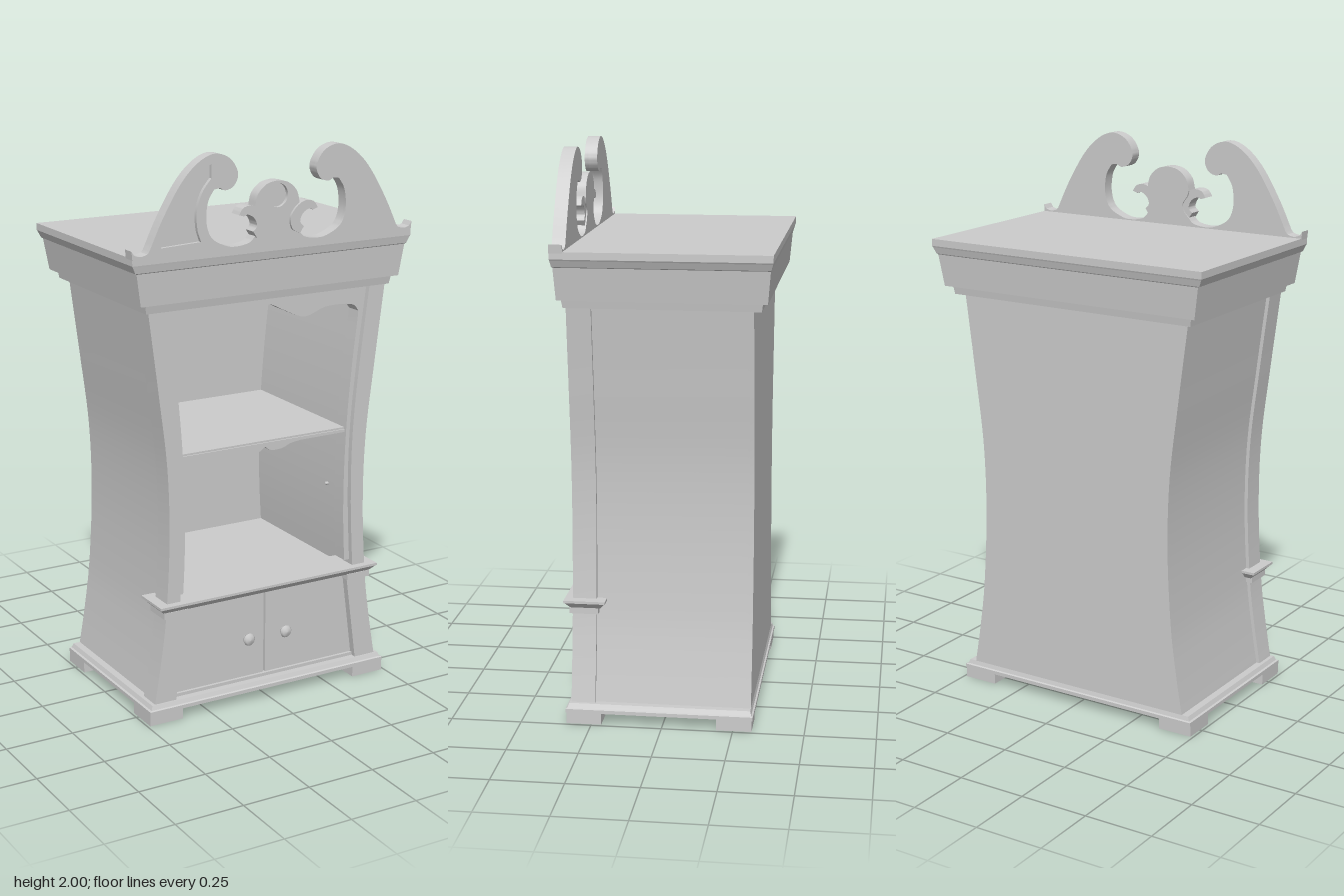
import * as THREE from 'three';
import { toCreasedNormals } from 'three/addons/utils/BufferGeometryUtils.js';

const material = new THREE.MeshStandardMaterial({ color: 0xcccccc });
const flip = (pts) => pts.map((p) => new THREE.Vector2(-p.x, p.y));
const line = (...pts) => pts.map((p) => new THREE.Vector2(...p));
const spline = (n, ...pts) => new THREE.SplineCurve(line(...pts)).getPoints(n);
// Left half run plus its mirror, as one closed outline
const symmetric = (half) => [...half, ...flip(half).reverse()];

function createModel() {
  const model = new THREE.Group();
  const add = (name, geometry) => {
    const mesh = new THREE.Mesh(geometry, material);
    mesh.name = name;
    model.add(mesh);
    return mesh;
  };

  // Flat board cut to an outline in x, y and spanning z0 to z1
  const board = (name, outline, z0, z1, holes = []) => {
    const shape = new THREE.Shape(outline);
    shape.holes = holes.map((h) => new THREE.Path(h));
    const geo = new THREE.ExtrudeGeometry(shape, { depth: z1 - z0, bevelEnabled: false });
    geo.translate(0, 0, z0);
    return add(name, toCreasedNormals(geo, 0.5));
  };
  const boardPair = (name, outline, z0, z1) => {
    board(name + 'Left', outline, z0, z1);
    board(name + 'Right', flip(outline), z0, z1);
  };

  // Rectangular moulding lofted through levels of [y, x0, x1, zBack, zFront]
  const moulding = (name, levels) => {
    const pos = [], index = [];
    for (const [y, x0, x1, zb, zf] of levels) pos.push(x0, y, zf, x1, y, zf, x1, y, zb, x0, y, zb);
    for (let i = 0; i < levels.length - 1; i++) {
      for (let j = 0; j < 4; j++) {
        const a = i * 4 + j, b = i * 4 + (j + 1) % 4;
        index.push(a, b, b + 4, a, b + 4, a + 4);
      }
    }
    const t = (levels.length - 1) * 4;
    index.push(0, 2, 1, 0, 3, 2, t, t + 1, t + 2, t, t + 2, t + 3);
    const geo = new THREE.BufferGeometry();
    geo.setAttribute('position', new THREE.Float32BufferAttribute(pos, 3));
    geo.setIndex(index);
    const flat = geo.toNonIndexed();
    flat.computeVertexNormals();
    return add(name, flat);
  };
  const wide = (y, x, zb, zf) => [y, -x, x, zb, zf];
  const box = (name, x0, x1, y0, y1, z0, z1) =>
    moulding(name, [[y0, x0, x1, z0, z1], [y1, x0, x1, z0, z1]]);

  // Waisted side curves, bottom to top
  const outer = spline(40, [0.465, 0.06], [0.438, 0.22], [0.415, 0.4], [0.4, 0.67], [0.406, 0.93], [0.437, 1.2], [0.474, 1.49]);
  const inner = spline(40, [0.37, 0.06], [0.338, 0.44], [0.328, 0.7], [0.335, 0.96], [0.355, 1.2], [0.378, 1.39], [0.39, 1.49]);
  const pilasterInner = spline(30, [0.36, 0.42], [0.347, 0.7], [0.35, 0.95], [0.373, 1.2], [0.41, 1.49]);
  const inset = outer.map((p) => new THREE.Vector2(p.x - 0.013, p.y));

  // Case: side walls, back and floor
  boardPair('sideWall', [...inset, ...[...inner].reverse()], -0.295, 0.245);
  board('backPanel', symmetric(inset), -0.31, -0.29);
  box('nicheFloor', -0.36, 0.36, 0.4, 0.437, -0.295, 0.31);

  // Pilasters above and below the ledge
  const upper = outer.filter((p) => p.y > 0.41), lower = outer.filter((p) => p.y < 0.42);
  boardPair('upperPilaster', [...upper, ...[...pilasterInner].reverse()], 0.24, 0.325);
  boardPair('lowerPilaster', [...lower, ...line([0.333, 0.41], [0.38, 0.06])], 0.24, 0.325);

  // Face frame with scalloped head
  const opening = inner.filter((p) => p.y > 0.44 && p.y < 1.38);
  const scallop = spline(24, [0.377, 1.39], [0.345, 1.418], [0.24, 1.421], [0.155, 1.395], [0.08, 1.422], [0.02, 1.452], [0, 1.455]);
  const frameEdge = inner.filter((p) => p.y > 0.41).map((p) => new THREE.Vector2(p.x + 0.04, p.y));
  board('faceFrame', symmetric(frameEdge), 0.245, 0.305, [symmetric([...opening, ...scallop])]);

  // Middle shelf with shaped apron and support pins
  box('middleShelf', -0.338, 0.338, 0.945, 0.962, -0.295, 0.29);
  board('shelfApron', symmetric([...line([0.336, 0.955], [0.336, 0.945]),
    ...spline(16, [0.15, 0.944], [0.105, 0.938], [0.07, 0.925], [0.025, 0.925], [0, 0.941])]), 0.27, 0.295);
  for (const s of [-1, 1]) {
    const pin = add('shelfPin', new THREE.CylinderGeometry(0.006, 0.006, 0.02, 10));
    pin.rotation.z = Math.PI / 2;
    pin.position.set(s * 0.325, 0.725, 0.2);
  }

  // Doors and knobs
  boardPair('door', line([0.004, 0.085], [0.376, 0.085], [0.335, 0.4], [0.004, 0.4]), 0.275, 0.298);
  box('doorBacking', -0.35, 0.35, 0.06, 0.41, 0.25, 0.27);
  box('bottomRail', -0.38, 0.38, 0.06, 0.083, 0.26, 0.305);
  const knobProfile = line([0.009, 0], [0.009, 0.012], [0.02, 0.018], [0.023, 0.026], [0.017, 0.034], [0, 0.037]);
  for (const s of [-1, 1]) {
    const knob = add('doorKnob', new THREE.LatheGeometry(knobProfile, 20));
    knob.rotation.x = Math.PI / 2;
    knob.position.set(s * 0.077, 0.235, 0.297);
  }

  // Waist ledge and pilaster capitals
  moulding('waistLedge', [wide(0.408, 0.427, 0.225, 0.33), wide(0.427, 0.445, 0.21, 0.347),
    wide(0.43, 0.45, 0.205, 0.352), wide(0.439, 0.45, 0.205, 0.352)]);
  for (const s of [-1, 1]) {
    const xs = [0.333 * s, 0.428 * s].sort((a, b) => a - b);
    box('capital', ...xs, 0.387, 0.41, 0.232, 0.334);
  }

  // Plinth and feet
  moulding('plinth', [wide(0.04, 0.49, -0.32, 0.342), wide(0.053, 0.49, -0.32, 0.342),
    wide(0.056, 0.483, -0.314, 0.336), wide(0.071, 0.476, -0.31, 0.33)]);
  for (const x of [-0.49, 0.36]) {
    for (const z of [-0.316, 0.215]) box('foot', x, x + 0.13, 0, 0.042, z, z + 0.124);
  }

  // Cornice
  moulding('cornice', [wide(1.482, 0.485, -0.338, 0.333), wide(1.512, 0.49, -0.342, 0.338),
    wide(1.512, 0.513, -0.36, 0.35), wide(1.625, 0.531, -0.37, 0.357), wide(1.628, 0.537, -0.372, 0.36),
    wide(1.65, 0.547, -0.378, 0.364), wide(1.655, 0.55, -0.38, 0.365), wide(1.68, 0.55, -0.38, 0.365)]);

  // Pediment board: ear, scroll, valley and central crest
  const half = [
    ...line([-0.55, 1.675], [-0.553, 1.705]),
    ...spline(8, [-0.543, 1.69], [-0.52, 1.684], [-0.495, 1.69]),
    ...spline(60, [-0.487, 1.7], [-0.438, 1.8], [-0.37, 1.91], [-0.306, 1.974], [-0.243, 2.0], [-0.185, 1.981],
      [-0.154, 1.931], [-0.168, 1.89], [-0.2, 1.876], [-0.222, 1.885]),
    ...spline(40, [-0.245, 1.882], [-0.269, 1.84], [-0.274, 1.773], [-0.253, 1.72], [-0.2, 1.69],
      [-0.158, 1.684], [-0.11, 1.692], [-0.088, 1.712]),
    ...spline(12, [-0.07, 1.73], [-0.062, 1.76], [-0.082, 1.79]),
    ...spline(20, [-0.088, 1.81], [-0.076, 1.853], [-0.042, 1.884], [0, 1.893]),
  ];
  const outline = symmetric(half.slice(0, -1).concat(line([-0.001, 1.893])));
  const recess = [
    ...spline(16, [-0.255, 1.967], [-0.31, 1.932], [-0.38, 1.845], [-0.445, 1.705]),
    ...line([-0.295, 1.712]),
    ...spline(14, [-0.308, 1.75], [-0.311, 1.81], [-0.29, 1.875], [-0.255, 1.92]),
  ];
  const roundel = new THREE.EllipseCurve(0, 1.843, 0.041, 0.041).getPoints(28).slice(0, -1);
  board('pedimentBack', outline, 0.32, 0.352);
  board('pedimentFront', outline, 0.352, 0.366, [recess, flip(recess), roundel]);

  // Curled leaves flanking the crest
  boardPair('crestLeaf', [
    ...spline(30, [-0.155, 1.79], [-0.138, 1.813], [-0.105, 1.818], [-0.072, 1.8], [-0.048, 1.765], [-0.055, 1.725], [-0.085, 1.708]),
    ...spline(20, [-0.1, 1.73], [-0.085, 1.748], [-0.096, 1.775], [-0.12, 1.789], [-0.135, 1.784]),
  ], 0.325, 0.375);

  return model;
}

export { createModel };
